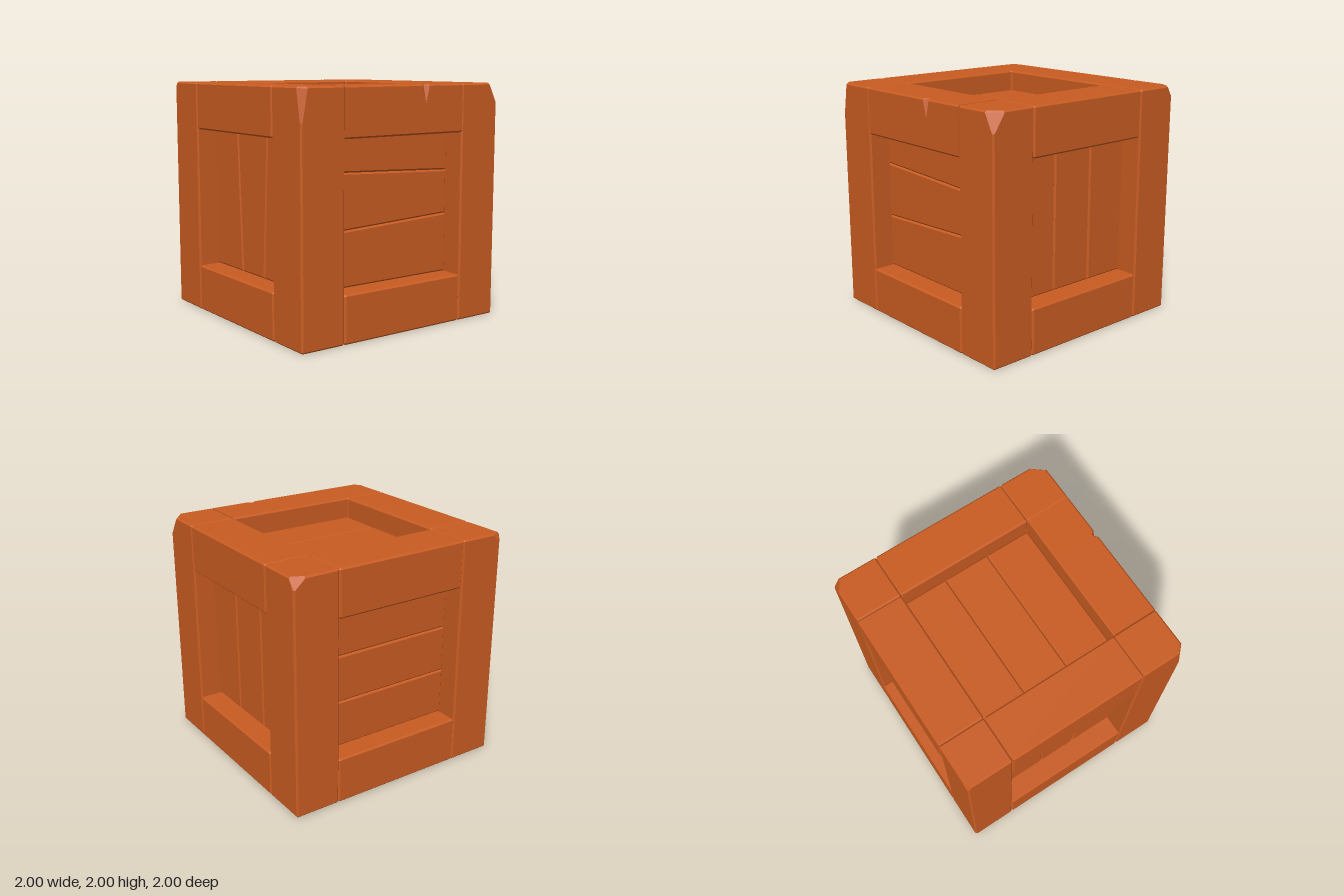
import * as THREE from 'three';
import { ConvexGeometry } from 'three/addons/geometries/ConvexGeometry.js';

const BEVEL = 0.014;
const wood = new THREE.MeshStandardMaterial({ color: 0xc95c22 });
wood.name = 'orange wood';

// Box between two corners with bevelled edges; one top corner may be chipped off.
// chip = { x, z: sign of the corner, cut: [along x, along y, along z] }
function timber(name, min, max, chip, bevel = [BEVEL, BEVEL, BEVEL]) {
  const pts = [];
  for (const sx of [-1, 1]) for (const sy of [-1, 1]) for (const sz of [-1, 1]) {
    const s = [sx, sy, sz];
    const corner = s.map((v, i) => (v > 0 ? max[i] : min[i]));
    const chipped = chip && sy > 0 && sx === chip.x && sz === chip.z;
    const add = (inset) => pts.push(new THREE.Vector3(...corner.map((c, i) => c - s[i] * inset[i])));
    for (let a = 0; a < 3; a++) {
      if (!chipped) {
        add(bevel.map((b, i) => (i === a ? 0 : b)));
        continue;
      }
      // both rims of the bevelled edge, where the chip meets it
      for (let k = 1; k < 3; k++) {
        const inset = [0, 0, 0];
        inset[a] = chip.cut[a];
        inset[(a + k) % 3] = bevel[(a + k) % 3];
        add(inset);
      }
    }
  }
  const mesh = new THREE.Mesh(new ConvexGeometry(pts), wood);
  mesh.name = name;
  return mesh;
}

// Three planks filling one recessed side; each seam is given by its two ends.
function panel(name, seams, horizontal) {
  const group = new THREE.Group();
  group.name = name;
  const lines = [[-0.6, -0.6], ...seams, [0.6, 0.6]];
  for (let i = 0; i < 3; i++) {
    const [a, b] = [lines[i], lines[i + 1]];
    const outline = [[a[0], -0.6], [b[0], -0.6], [b[1], 0.6], [a[1], 0.6]]
      .map(([across, along]) => (horizontal ? new THREE.Vector2(along, across) : new THREE.Vector2(across, along)));
    const geometry = new THREE.ExtrudeGeometry(new THREE.Shape(outline), {
      depth: 0.1, bevelEnabled: true, bevelSegments: 1,
      bevelThickness: BEVEL, bevelSize: BEVEL, bevelOffset: -BEVEL,
    });
    geometry.translate(0, 0, 0.82 - 0.1 - BEVEL);
    const plank = new THREE.Mesh(geometry, wood);
    plank.name = 'plank';
    group.add(plank);
  }
  group.position.y = 1;
  return group;
}

export function createModel() {
  const crate = new THREE.Group();
  crate.name = 'crate';

  // Corner posts with chipped tops
  const chips = [
    { x: 1, z: 1, cut: [0.06, 0.27, 0.06] },
    { x: 1, z: -1, cut: [0.11, 0.16, 0.09] },
    { x: -1, z: 1, cut: [0.028, 0.06, 0.09] },
    { x: -1, z: -1, cut: [0.06, 0.09, 0.1] },
  ];
  for (const chip of chips) {
    const x = chip.x > 0 ? [0.6, 1] : [-1, -0.6];
    const z = chip.z > 0 ? [0.6, 1] : [-1, -0.6];
    crate.add(timber('cornerPost', [x[0], 0, z[0]], [x[1], 2, z[1]], chip));
  }

  // Rails between the posts
  for (const y of [0, 1.6]) {
    for (const near of [-1, 0.6]) {
      crate.add(timber('crossRail', [-0.6, y, near], [0.6, y + 0.4, near + 0.4]));
      if (y > 0 && near > 0) continue;
      crate.add(timber('sideRail', [near, y, -0.6], [near + 0.4, y + 0.4, 0.6]));
    }
  }

  // Notched upper rail, in two halves that meet at the notch
  const notch = -0.203;
  const flatEnds = [BEVEL, BEVEL, 0];
  crate.add(timber('notchedRailFront', [0.6, 1.6, notch], [1, 2, 0.6],
    { x: 1, z: -1, cut: [0.04, 0.15, 0.038] }, flatEnds));
  crate.add(timber('notchedRailBack', [0.6, 1.6, -0.6], [1, 2, notch],
    { x: 1, z: 1, cut: [0.04, 0.15, 0.035] }, flatEnds));

  // Recessed plank panels
  const even = [[-0.2, -0.2], [0.2, 0.2]];
  const front = panel('frontPanel', [[-0.16, -0.217], [0.18, 0.25]], false);
  const right = panel('sidePanel', [[-0.145, -0.095], [0.325, 0.275]], true);
  right.rotation.y = Math.PI / 2;
  const back = panel('backPanel', even, false);
  back.rotation.y = Math.PI;
  const left = panel('sidePanel', even, true);
  left.rotation.y = -Math.PI / 2;
  const top = panel('topPanel', even, false);
  top.rotation.x = -Math.PI / 2;
  const bottom = panel('bottomPanel', even, false);
  bottom.rotation.x = Math.PI / 2;
  crate.add(front, right, back, left, top, bottom);

  return crate;
}
